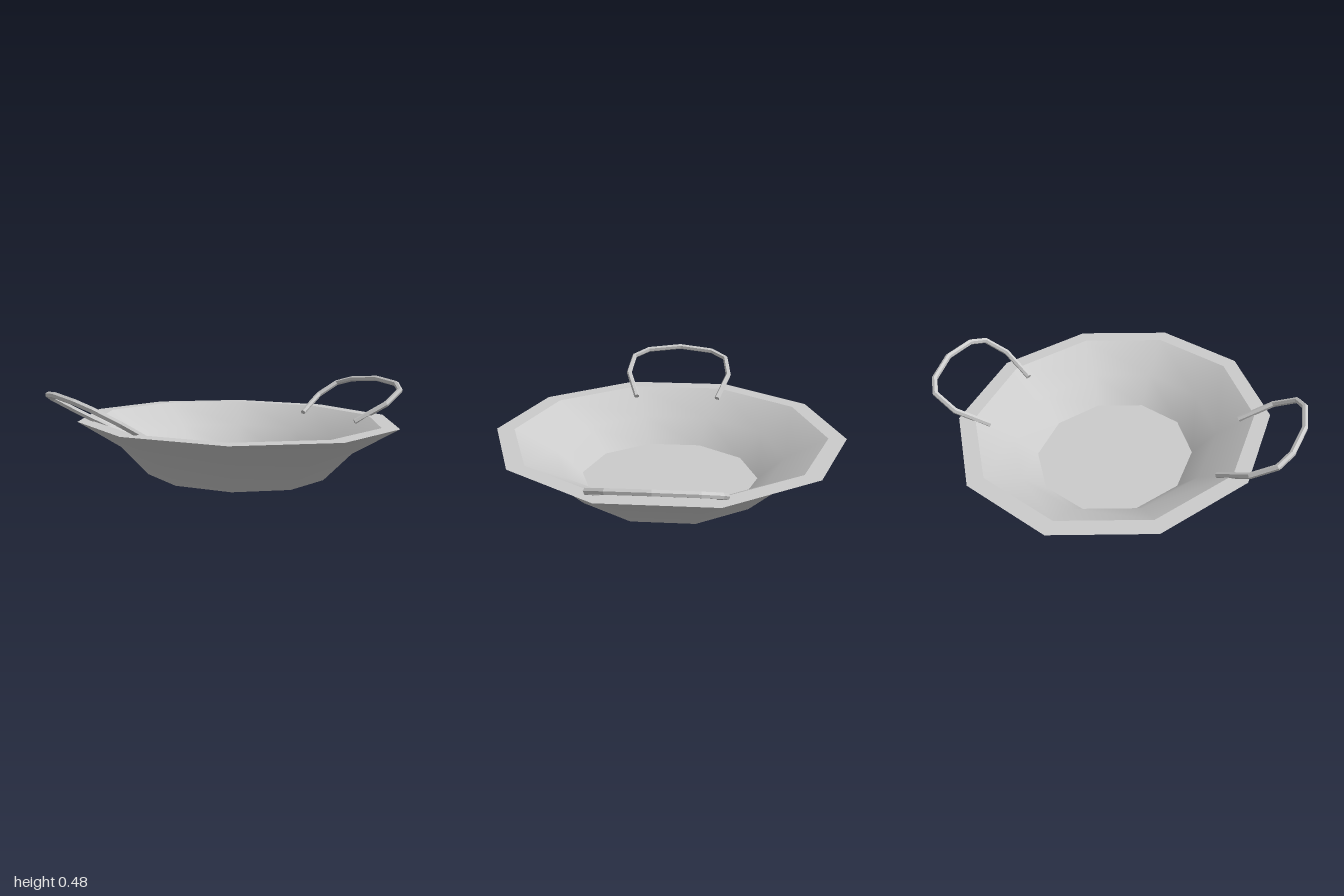
import * as THREE from 'three';

const SIDES = 10;
const STRETCH = 1.146; // the bowl is longer along z

export function createModel() {
  const model = new THREE.Group();
  const smooth = new THREE.MeshStandardMaterial({ color: 0xcccccc });
  const faceted = new THREE.MeshStandardMaterial({ color: 0xcccccc, flatShading: true });

  // Bowl: one ring band per surface, so the edges between them stay sharp
  const bowl = new THREE.Group();
  bowl.name = 'bowl';
  const bands = {
    base: [[0, 0], [0.463, 0]],
    outerWall: [[0.463, 0], [0.6, 0.15], [0.82, 0.29]],
    rim: [[0.82, 0.29], [0.736, 0.29]],
    innerWall: [[0.736, 0.29], [0.545, 0.17], [0.42, 0.04]],
    floor: [[0.42, 0.04], [0, 0.04]],
  };
  for (const [name, profile] of Object.entries(bands)) {
    const points = profile.map(([r, y]) => new THREE.Vector2(r, y));
    const geometry = new THREE.LatheGeometry(points, SIDES);
    geometry.scale(1, 1, STRETCH);
    const mesh = new THREE.Mesh(geometry, smooth);
    mesh.name = name;
    bowl.add(mesh);
  }
  model.add(bowl);

  // Handles: bent hexagonal rods lying in a plane that slopes outward
  const half = [[0.62, 0.245], [0.785, 0.31], [0.905, 0.288], [0.955, 0.2]];
  const outline = [...half, [0.982, 0], ...half.map(([x, z]) => [x, -z]).reverse()];
  const path = outline.map(([x, z]) => new THREE.Vector3(x, 0.464 - (0.982 - x) * 0.575, z));
  const curve = new THREE.CatmullRomCurve3(path);
  // Sample exactly at the corner points
  curve.getPointAt = (u, target) => curve.getPoint(u, target);
  curve.getTangentAt = (u, target) => curve.getTangent(u, target);
  const radius = 0.016;
  const rod = new THREE.TubeGeometry(curve, path.length - 1, radius, 6, false);
  const cap = new THREE.CircleGeometry(radius, 6);

  for (const [name, turn] of [['leftHandle', 0], ['rightHandle', Math.PI]]) {
    const handle = new THREE.Group();
    handle.name = name;
    const rodMesh = new THREE.Mesh(rod, faceted);
    rodMesh.name = 'handleRod';
    handle.add(rodMesh);
    for (const u of [0, 1]) {
      const end = new THREE.Mesh(cap, faceted);
      end.name = 'handleEnd';
      end.position.copy(curve.getPoint(u));
      const outward = curve.getTangent(u).multiplyScalar(u ? 1 : -1);
      end.quaternion.setFromUnitVectors(new THREE.Vector3(0, 0, 1), outward);
      handle.add(end);
    }
    handle.rotation.y = turn;
    model.add(handle);
  }
  return model;
}
